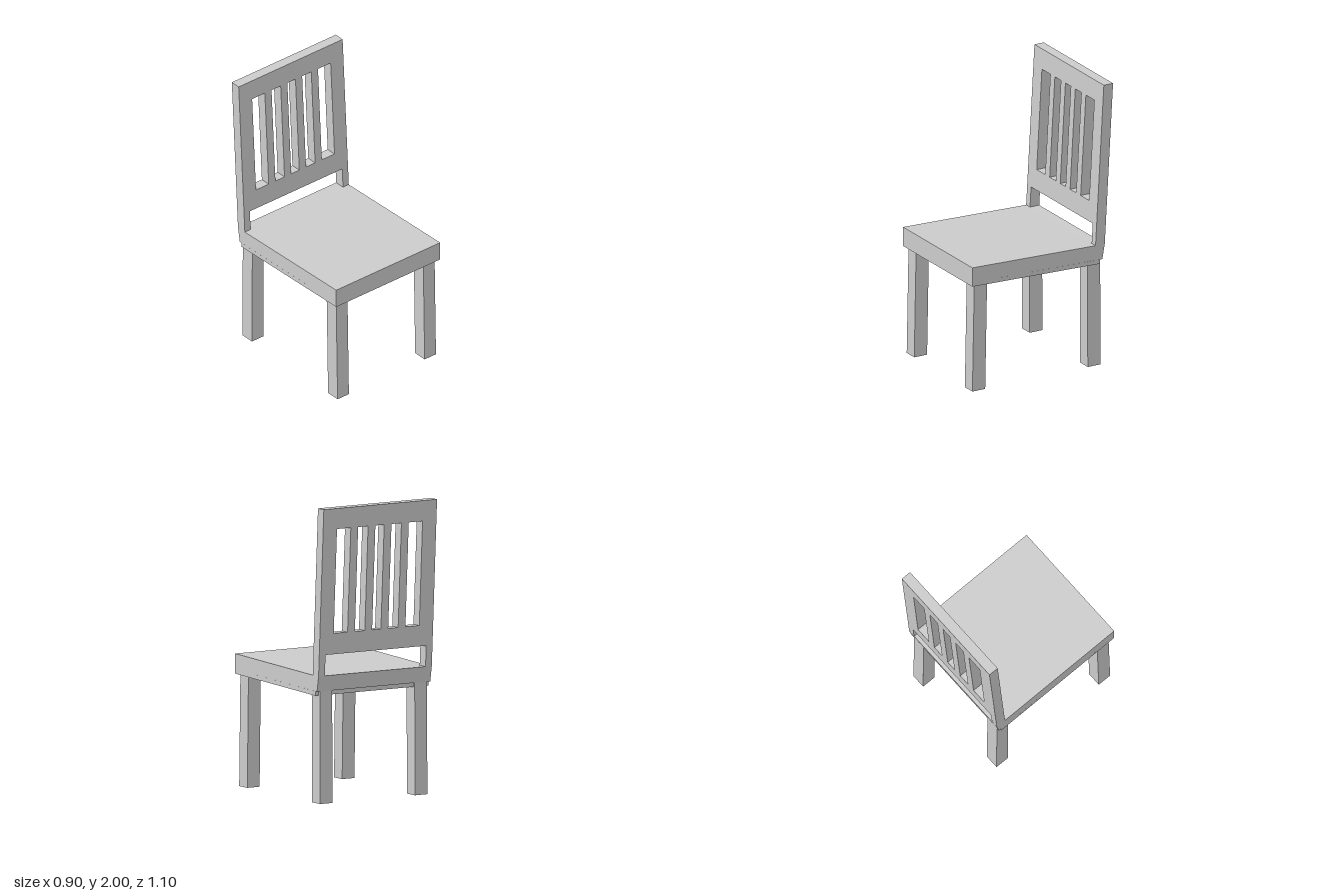
import * as THREE from 'three';

const material = new THREE.MeshStandardMaterial({ color: 0xcccccc, flatShading: true });
const SEAT_SLOPE = 0.03;
const BACK_LEAN = 0.057;

function shapeOf(points) {
  return new THREE.Shape(points.map(([x, y]) => new THREE.Vector2(x, y)));
}

function rectHole(x0, x1, y0, y1) {
  return new THREE.Path([[x0, y0], [x0, y1], [x1, y1], [x1, y0]].map(([x, y]) => new THREE.Vector2(x, y)));
}

// Move every vertex by a rule
function bend(geometry, rule) {
  const p = geometry.attributes.position;
  const v = new THREE.Vector3();
  for (let i = 0; i < p.count; i++) {
    v.fromBufferAttribute(p, i);
    rule(v);
    p.setXYZ(i, v.x, v.y, v.z);
  }
  geometry.computeVertexNormals();
  return geometry;
}

function extrude(shape, depth) {
  return new THREE.ExtrudeGeometry(shape, { depth, bevelEnabled: false });
}

export function createModel() {
  const chair = new THREE.Group();
  chair.name = 'chair';
  const add = (name, geometry) => {
    const mesh = new THREE.Mesh(geometry, material);
    mesh.name = name;
    chair.add(mesh);
    return mesh;
  };

  // Seat: side profile (z, y) swept across the width, with the foot of the back
  const seat = extrude(shapeOf([
    [0.55, 0.79], [0.55, 0.895], [-0.41, 0.866], [-0.483, 0.866], [-0.464, 0.76],
  ]), 0.9);
  seat.rotateY(-Math.PI / 2).translate(0.45, 0, 0);
  add('seat', seat);

  // Thin rim around the recessed underside, sloping with the seat
  const rimShape = shapeOf([[-0.45, -0.55], [0.45, -0.55], [0.45, 0.445], [-0.45, 0.445]]);
  rimShape.holes.push(rectHole(-0.432, 0.432, -0.532, 0.427));
  const rim = extrude(rimShape, 0.03).rotateX(-Math.PI / 2);
  add('seatRim', bend(rim, (v) => { v.y += 0.76 - SEAT_SLOPE * (0.55 - v.z); }));

  // Backrest: one frame with open foot and five slots, leaning backwards
  const backShape = shapeOf([
    [-0.45, 0.866], [-0.4, 0.866], [-0.4, 1.008], [0.4, 1.008],
    [0.4, 0.866], [0.45, 0.866], [0.45, 2], [-0.45, 2],
  ]);
  for (const [x0, x1] of [[-0.34, -0.23], [-0.172, -0.093], [-0.035, 0.035], [0.093, 0.172], [0.23, 0.34]]) {
    backShape.holes.push(rectHole(x0, x1, 1.15, 1.86));
  }
  const back = extrude(backShape, 0.072).translate(0, 0, -0.483);
  add('backrest', bend(back, (v) => { v.z -= (v.y - 0.866) * BACK_LEAN; }));

  // Legs: square posts, the front pair raked slightly forwards
  for (const side of [-1, 1]) {
    for (const [name, zFoot, rake, top] of [['frontLeg', 0.485, 0.019, 0.8], ['backLeg', -0.415, -0.005, 0.785]]) {
      const leg = new THREE.BoxGeometry(0.098, top, 0.1).translate(side * 0.377, top / 2, zFoot);
      add(name + (side > 0 ? 'Left' : 'Right'), bend(leg, (v) => { v.z -= v.y * rake; }));
    }
  }
  return chair;
}
